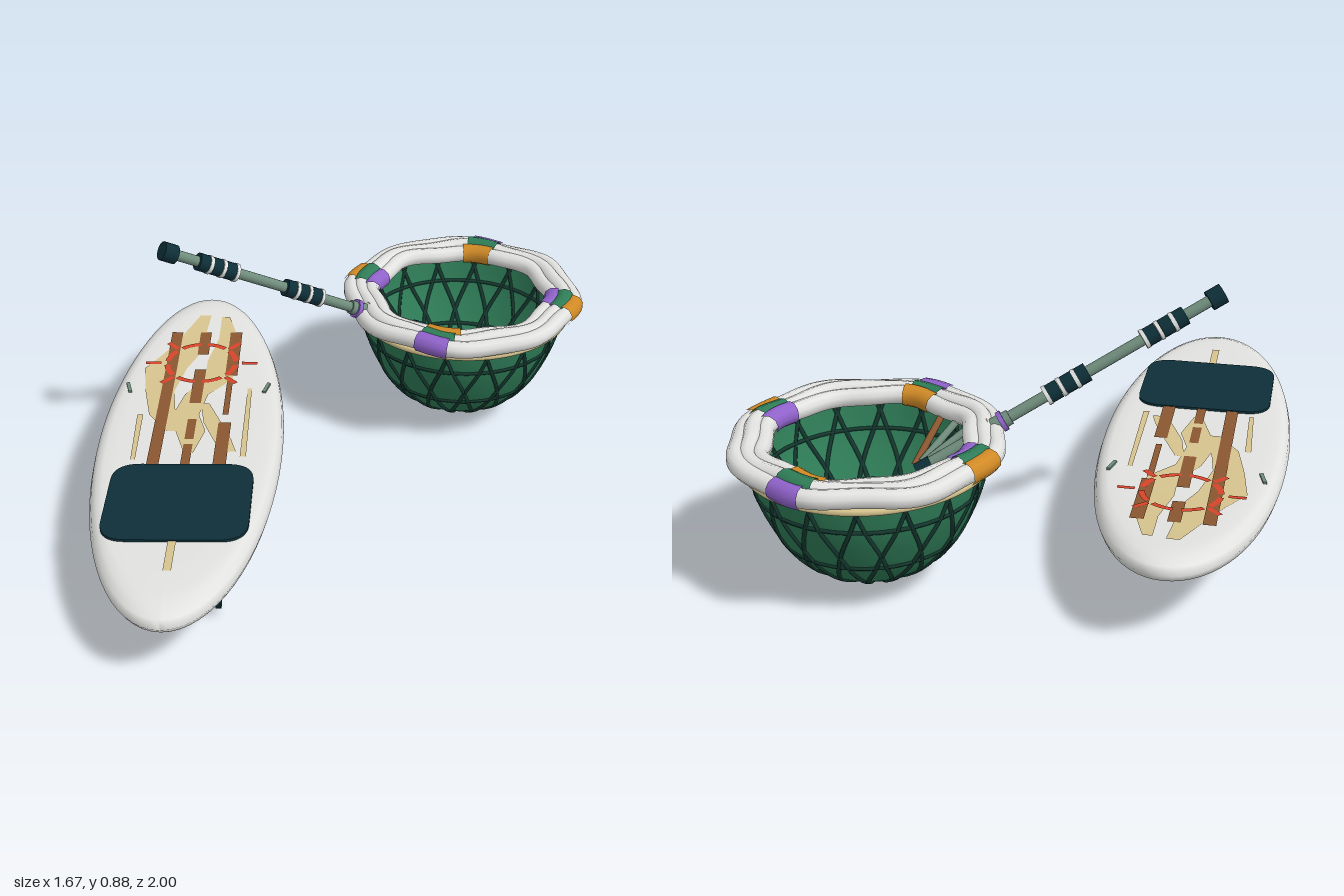
import * as THREE from 'three';

const mat = (name, color, side = THREE.FrontSide) => {
  const m = new THREE.MeshStandardMaterial({ color, side });
  m.name = name;
  return m;
};
const M = {
  white: mat('white', 0xe2e2e0),
  teal: mat('dark teal', 0x0e2f38),
  green: mat('green', 0x2f7d58, THREE.DoubleSide),
  net: mat('dark green', 0x14382f),
  tan: mat('tan', 0xd6c48e),
  brown: mat('brown', 0x8a5630),
  red: mat('red orange', 0xd8432a),
  purple: mat('purple', 0x9163cc),
  orange: mat('orange', 0xd18a26),
  sage: mat('sage', 0x6f8c7c),
};
const V = (x, y, z) => new THREE.Vector3(x, y, z);

function add(parent, name, geo, material, x = 0, y = 0, z = 0) {
  const mesh = new THREE.Mesh(geo, material);
  mesh.name = name;
  mesh.position.set(x, y, z);
  parent.add(mesh);
  return mesh;
}

// Upward curve of the board towards its nose
const rocker = (z) => (z < -0.2 ? 0.04 * ((-0.2 - z) / 0.66) ** 2 : 0);
function bend(geo) {
  const p = geo.attributes.position;
  for (let i = 0; i < p.count; i++) p.setY(i, p.getY(i) + rocker(p.getZ(i)));
  geo.computeVertexNormals();
  return geo;
}

const BX = -0.52, BZ = 0.07, TOP = 0.275;

// Flat painted strip on the deck; rows are [z, left x, right x]
function strip(parent, name, rows, material, lift) {
  const pos = [], idx = [];
  const push = (z, l, r) => pos.push(l, TOP + lift, z, r, TOP + lift, z);
  for (let i = 0; i < rows.length - 1; i++) {
    for (let k = 0; k < 4; k++) {
      push(...rows[i].map((v, j) => THREE.MathUtils.lerp(v, rows[i + 1][j], k / 4)));
    }
  }
  push(...rows[rows.length - 1]);
  for (let i = 0; i < pos.length / 6 - 1; i++) {
    const a = i * 2;
    idx.push(a, a + 2, a + 1, a + 1, a + 2, a + 3);
  }
  const geo = new THREE.BufferGeometry();
  geo.setAttribute('position', new THREE.Float32BufferAttribute(pos, 3));
  geo.setIndex(idx);
  add(parent, name, bend(geo), material);
}

function makeBoard() {
  const g = new THREE.Group();
  g.name = 'board';
  const prof = [[0, 0.185], [0.3, 0.185], [0.6, 0.185], [0.85, 0.186], [0.93, 0.191], [0.98, 0.207], [1, 0.23],
    [0.98, 0.253], [0.93, 0.268], [0.87, 0.274], [0.75, TOP], [0.55, TOP], [0.35, TOP], [0.17, TOP], [0, TOP]];
  const hull = new THREE.LatheGeometry(prof.map(([r, y]) => new THREE.Vector2(r, y)), 72);
  hull.scale(0.31, 1, 0.93).translate(BX, 0, BZ);
  add(g, 'hull', bend(hull), M.white);

  // Painted deck pattern
  [
    [[-0.7, -0.55, -0.51], [-0.58, -0.6, -0.52], [-0.45, -0.66, -0.53], [-0.35, -0.72, -0.57],
      [-0.2, -0.7, -0.6], [-0.05, -0.67, -0.58], [0.05, -0.6, -0.53]],
    [[-0.69, -0.47, -0.44], [-0.55, -0.47, -0.4], [-0.4, -0.5, -0.41], [-0.28, -0.5, -0.4],
      [-0.18, -0.56, -0.48], [-0.05, -0.59, -0.5], [0.05, -0.57, -0.47], [0.18, -0.53, -0.5]],
    [[-0.12, -0.5, -0.47], [0, -0.48, -0.42], [0.1, -0.44, -0.38], [0.17, -0.41, -0.36]],
    [[0.64, -0.532, -0.507], [0.79, -0.532, -0.507]],
    [[-0.05, -0.71, -0.69], [0.22, -0.7, -0.685]],
    [[-0.22, -0.345, -0.33], [0.2, -0.345, -0.325]],
  ].forEach((rows) => strip(g, 'tanPattern', rows, M.tan, 0.003));
  [
    [-0.645, -0.605, -0.585, 0.26], [-0.54, -0.5, -0.585, -0.44], [-0.54, -0.5, -0.34, -0.12],
    [-0.535, -0.505, -0.02, 0.1], [-0.535, -0.505, 0.13, 0.25],
    [-0.43, -0.387, -0.585, -0.3], [-0.43, -0.387, 0, 0.26], [-0.42, -0.4, -0.28, -0.05],
  ].forEach(([l, r, z0, z1]) => strip(g, 'brownStripe', [[z0, l, r], [z1, l, r]], M.brown, 0.005));

  // Sun emblem: broken ring and rays
  for (let i = 0; i < 8; i++) {
    const a = (i * Math.PI) / 4;
    const arc = new THREE.RingGeometry(0.112, 0.132, 8, 1, a + 0.1, 0.58);
    arc.rotateX(-Math.PI / 2).translate(BX, TOP + 0.007, -0.38);
    add(g, 'sunRing', bend(arc), M.red);
    const ray = new THREE.PlaneGeometry(0.055, 0.018);
    ray.translate(i % 4 === 0 ? 0.172 : 0.158, 0, 0).rotateZ(a).rotateX(-Math.PI / 2);
    ray.translate(BX, TOP + 0.007, -0.38);
    if (i % 4 !== 2) add(g, 'sunRay', bend(ray), M.red);
  }

  // Rounded grip pad
  const w = 0.228, h = 0.2, r = 0.09;
  const s = new THREE.Shape();
  s.moveTo(-w + r, -h).lineTo(w - r, -h).quadraticCurveTo(w, -h, w, -h + r);
  s.lineTo(w, h - r).quadraticCurveTo(w, h, w - r, h).lineTo(-w + r, h);
  s.quadraticCurveTo(-w, h, -w, h - r).lineTo(-w, -h + r).quadraticCurveTo(-w, -h, -w + r, -h);
  const pad = new THREE.ExtrudeGeometry(s, { depth: 0.009, bevelEnabled: false });
  add(g, 'gripPad', pad.rotateX(-Math.PI / 2), M.teal, BX, TOP - 0.001, 0.45);

  // Three fins
  const fs = new THREE.Shape();
  fs.moveTo(0.485, 0.01);
  fs.splineThru([[0.53, -0.06], [0.58, -0.125], [0.63, -0.17], [0.66, -0.185], [0.69, -0.155], [0.708, -0.09], [0.712, 0.01]]
    .map((p) => new THREE.Vector2(...p)));
  for (const [x, k] of [[-0.65, 0.85], [BX, 1], [-0.387, 0.85]]) {
    const fin = new THREE.ExtrudeGeometry(fs, { depth: 0.016, bevelEnabled: false, curveSegments: 4 });
    fin.rotateY(-Math.PI / 2).translate(0.008, 0, 0).scale(1, k, 1);
    add(g, 'fin', fin, M.teal, x, 0.187, 0);
  }

  // Small side pegs
  for (const d of [-1, 1]) {
    const peg = add(g, 'sidePeg', new THREE.BoxGeometry(0.012, 0.012, 0.06), M.sage, BX + d * 0.24, TOP, -0.225);
    peg.rotation.y = -d * 0.25;
  }
  return g;
}

// Bowl profile shared by the skin and the net cords
const bowl = new THREE.CatmullRomCurve3([[0, 0.03], [0.1, 0.04], [0.2, 0.09], [0.268, 0.16], [0.315, 0.25], [0.345, 0.33], [0.365, 0.43]]
  .map(([r, y]) => V(r, y, 0)));
const tube = (pts, r, closed = false, seg = 24, sides = 6) =>
  new THREE.TubeGeometry(new THREE.CatmullRomCurve3(pts, closed), seg, r, sides, closed);

function makeBasket() {
  const g = new THREE.Group();
  g.name = 'basket';
  g.position.set(0.415, 0, -0.57);
  const prof = bowl.getPoints(24).map((p) => new THREE.Vector2(Math.max(p.x, 0), p.y));
  add(g, 'bowl', new THREE.LatheGeometry(prof, 48), M.green);

  // Crossing net cords and hoops
  for (let i = 0; i < 16; i++) {
    for (const dir of [-1, 1]) {
      const pts = [];
      for (let k = 0; k <= 12; k++) {
        const t = 0.06 + 0.93 * (k / 12), p = bowl.getPoint(t);
        const a = (i / 16) * Math.PI * 2 + dir * t * 0.62;
        pts.push(V(Math.cos(a) * p.x, p.y, Math.sin(a) * p.x));
      }
      add(g, 'netCord', tube(pts, 0.0075, false, 20, 5), M.net);
    }
  }
  for (const t of [0.14, 0.55, 0.85]) {
    const p = bowl.getPoint(t);
    add(g, 'netHoop', new THREE.TorusGeometry(p.x, 0.007, 5, 48).rotateX(Math.PI / 2), M.net, 0, p.y, 0);
  }
  add(g, 'bandRing', new THREE.TorusGeometry(0.38, 0.012, 8, 64).rotateX(Math.PI / 2), M.tan, 0, 0.425, 0);

  // Wavy rim of three rolls, with coloured wraps
  const roll = (j, a) => {
    const r = [0.322, 0.358, 0.392][j] + 0.009 * Math.sin(8 * a + 0.5);
    return V(Math.cos(a) * r, [0.468, 0.475, 0.468][j] + 0.004 * Math.sin(5 * a + j * 2), Math.sin(a) * r);
  };
  for (let j = 0; j < 3; j++) {
    const pts = [];
    for (let k = 0; k < 64; k++) pts.push(roll(j, (k / 64) * Math.PI * 2));
    add(g, 'rimRoll', tube(pts, 0.03, true, 128, 10), M.white);
    for (let q = 0; q < 4; q++) {
      const inner = q % 2 ? M.orange : M.purple, outer = q % 2 ? M.purple : M.orange;
      const c = THREE.MathUtils.degToRad(16 + q * 90) + (j - 1) * 0.03;
      const span = [0.18, 0.16, 0.14][j], wrap = [];
      for (let k = 0; k <= 8; k++) wrap.push(roll(j, c + span * (k / 4 - 1)));
      add(g, 'rimWrap', tube(wrap, 0.036, false, 12, 10), [inner, M.green, outer][j]);
    }
  }
  return g;
}

function makeHandle() {
  const g = new THREE.Group();
  g.name = 'handle';
  const base = V(0.28, 0.35, -0.52), tip = V(-0.6, 0.855, -0.14);
  const len = base.distanceTo(tip);
  const pole = new THREE.Group();
  pole.name = 'pole';
  pole.position.copy(base);
  pole.quaternion.setFromUnitVectors(V(0, 1, 0), tip.clone().sub(base).normalize());
  g.add(pole);
  const part = (name, from, to, r, material, r2 = r) =>
    add(pole, name, new THREE.CylinderGeometry(r2, r, to - from, 16), material, 0, (from + to) / 2, 0);

  part('shaft', 0, len - 0.02, 0.018, M.sage);
  part('endCap', len - 0.05, len, 0.032, M.teal);
  part('shaftFoot', 0, 0.05, 0.022, M.teal);
  part('socket', 0.19, 0.33, 0.03, M.sage, 0.024);
  part('socketBand', 0.2, 0.215, 0.034, M.purple);
  part('socketBand', 0.25, 0.265, 0.034, M.tan);
  part('socketBand', 0.295, 0.31, 0.033, M.purple);
  // Grips: dark sleeves between pale rings
  for (const c of [0.489 * len, 0.807 * len]) {
    for (const d of [-0.045, 0.01, 0.055]) part('gripSleeve', c + d - 0.02, c + d + 0.02, 0.03, M.teal);
    for (const d of [-0.069, -0.017, 0.033]) part('gripRing', c + d - 0.006, c + d + 0.006, 0.032, M.white);
  }
  // Braces from the pole foot up to the rim
  const brace = (a, b, material) => add(g, 'brace', tube([a, b], 0.012, false, 1, 8), material);
  brace(V(0.29, 0.36, -0.51), V(0.25, 0.45, -0.29), M.brown);
  brace(V(0.27, 0.37, -0.5), V(0.19, 0.45, -0.33), M.sage);
  brace(V(0.26, 0.37, -0.5), V(0.14, 0.45, -0.38), M.sage);
  return g;
}

export function createModel() {
  const root = new THREE.Group();
  root.name = 'boardAndBasket';
  root.add(makeBoard(), makeBasket(), makeHandle());
  return root;
}
